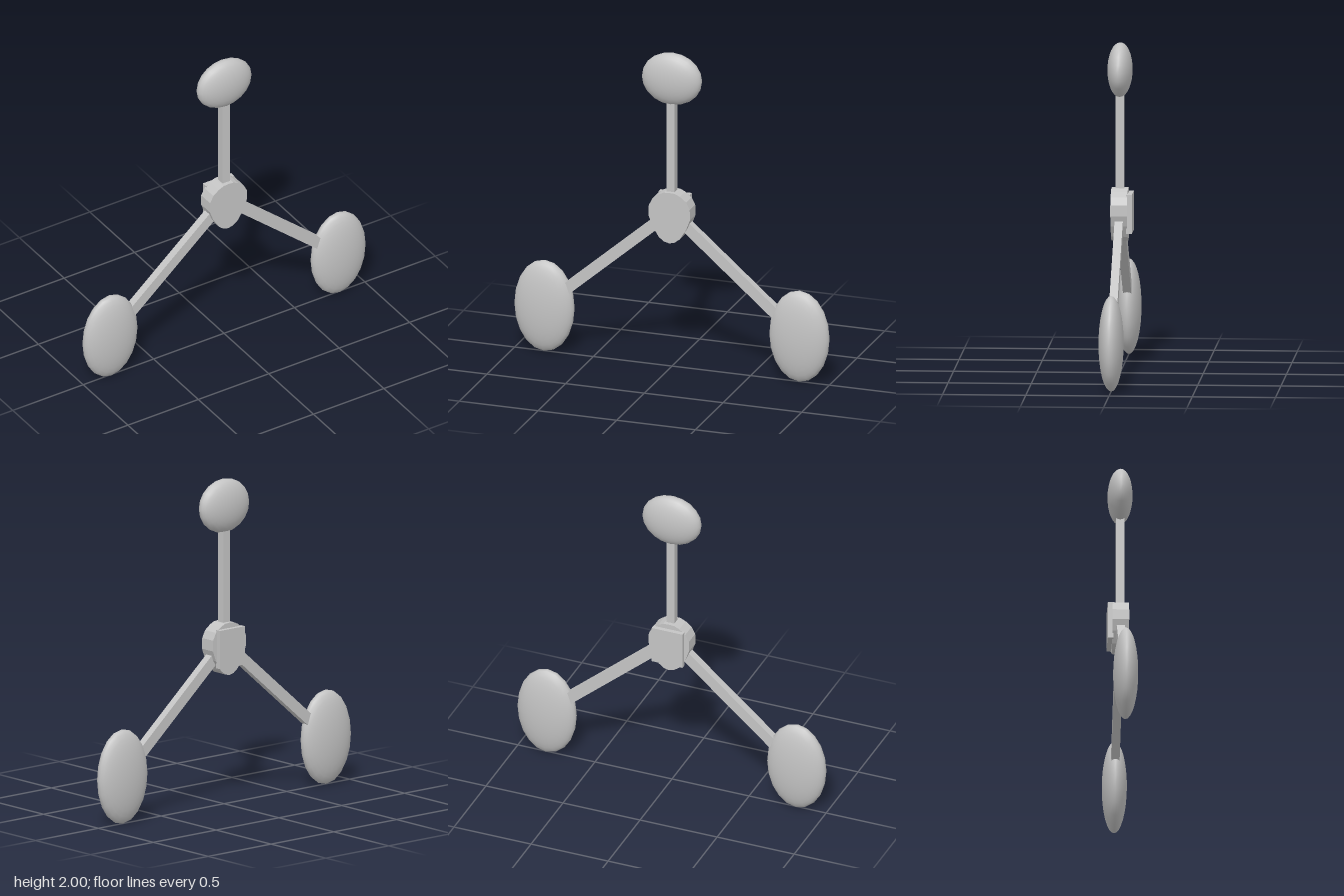
import * as THREE from 'three';

export function createModel() {
  const model = new THREE.Group();
  const grey = new THREE.MeshStandardMaterial({ color: 0xc4c4c4 });
  grey.name = 'light grey';

  function add(name, geometry, x, y, z = 0) {
    const mesh = new THREE.Mesh(geometry, grey);
    mesh.name = name;
    mesh.position.set(x, y, z);
    model.add(mesh);
    return mesh;
  }

  // Flattened ellipsoid with its poles facing front and back
  function pod(name, x, y, rx, ry) {
    const geometry = new THREE.SphereGeometry(1, 20, 16);
    geometry.rotateX(Math.PI / 2).scale(rx, ry, 0.075);
    add(name, geometry, x, y);
  }

  // Square-ended rod between two points
  function rod(name, x0, y0, x1, y1, width) {
    const length = Math.hypot(x1 - x0, y1 - y0);
    const mesh = add(name, new THREE.BoxGeometry(length, width, 0.05), (x0 + x1) / 2, (y0 + y1) / 2);
    mesh.rotation.z = Math.atan2(y1 - y0, x1 - x0);
  }

  // Egg-shaped central hub
  const half = [[0.035, 1.12], [0.068, 1.105], [0.107, 1.075], [0.13, 1.03], [0.132, 0.965],
    [0.108, 0.9], [0.066, 0.833], [0.033, 0.808]];
  const outline = [[0, 1.122], ...half, [0, 0.8], ...half.slice().reverse().map(([x, y]) => [-x, y])];
  const hubShape = new THREE.Shape(outline.map(([x, y]) => new THREE.Vector2(x, y)));
  add('hub', new THREE.ExtrudeGeometry(hubShape, { depth: 0.1, bevelEnabled: false }), 0, 0, -0.05);

  // Plate on the back of the hub
  add('backPlate', new THREE.BoxGeometry(0.2, 0.235, 0.035), 0, 0.973, -0.06);

  // Upper rod and pod
  rod('topRod', 0, 1.05, 0, 1.72, 0.05);
  pod('topPod', 0, 1.835, 0.19, 0.165);

  // Mirrored lower rods and pods
  for (const [side, s] of [['left', 1], ['right', -1]]) {
    rod(side + 'Rod', s * 0.09, 0.913, s * 0.7, 0.388, 0.068);
    pod(side + 'Pod', s * 0.81, 0.29, 0.19, 0.29);
  }
  return model;
}
